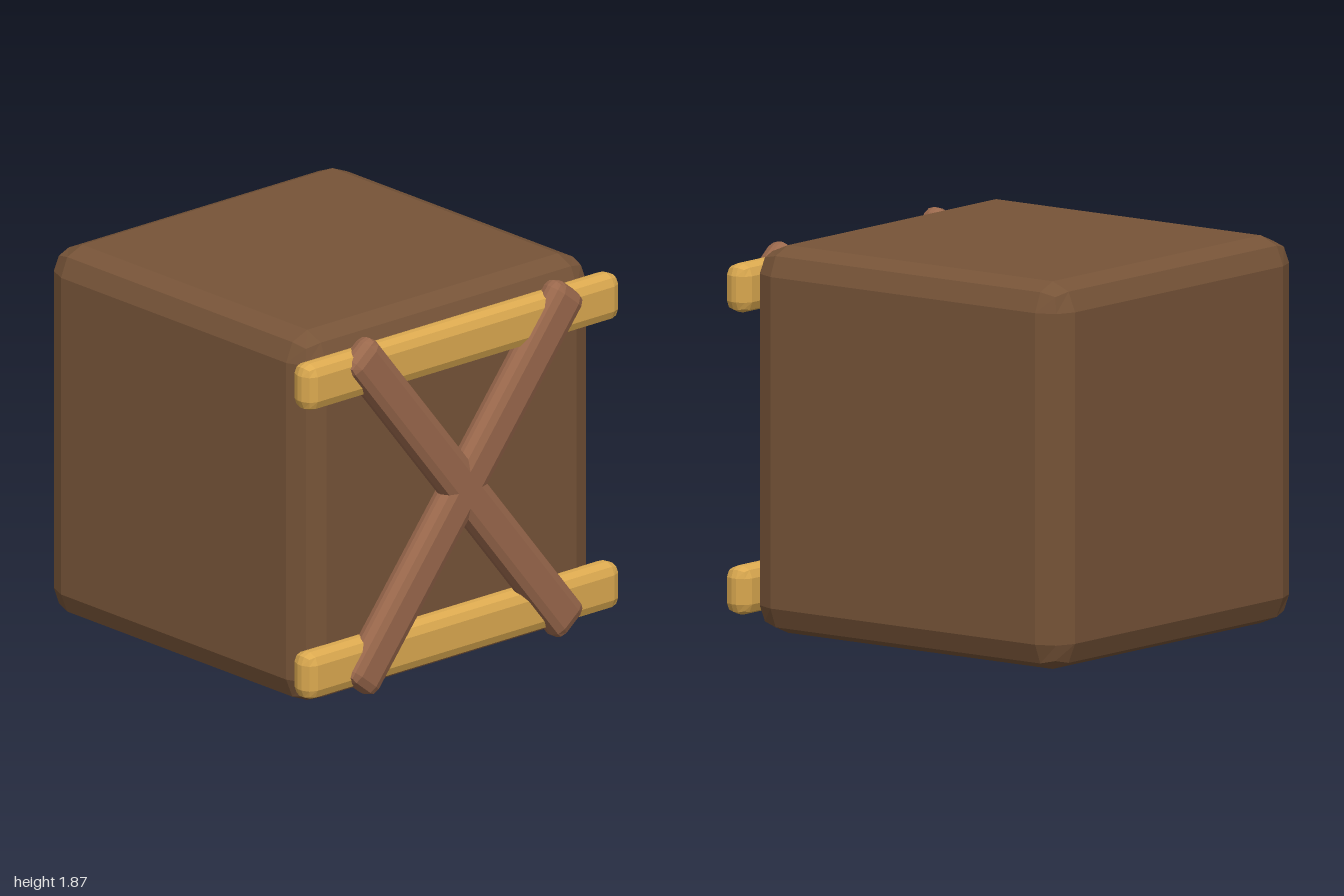
import * as THREE from 'three';
import { RoundedBoxGeometry } from 'three/addons/geometries/RoundedBoxGeometry.js';

function material(name, color) {
  const m = new THREE.MeshStandardMaterial({ color });
  m.name = name;
  return m;
}

// Box with a two-facet bevel on every edge and faceted normals
function bevelledBox(name, size, radius, mat, position) {
  const geometry = new RoundedBoxGeometry(...size, 1, radius);
  geometry.computeVertexNormals();
  const mesh = new THREE.Mesh(geometry, mat);
  mesh.name = name;
  mesh.position.set(...position);
  return mesh;
}

export function createModel() {
  const group = new THREE.Group();
  group.name = 'crate';

  const darkWood = material('darkWood', 0x775438);
  const paleWood = material('paleWood', 0xdcaa50);
  const redWood = material('redWood', 0x9a684c);

  // Solid body
  group.add(bevelledBox('body', [1.865, 1.865, 1.865], 0.135, darkWood, [0, 0.9325, -0.0675]));

  // Horizontal rails across the front
  for (const [name, y] of [['lowerRail', 0.208], ['upperRail', 1.662]]) {
    group.add(bevelledBox(name, [2, 0.235, 0.138], 0.055, paleWood, [0, y, 0.899]));
  }

  // Crossed braces over the rails
  for (const [name, side] of [['risingBrace', 1], ['fallingBrace', -1]]) {
    const brace = bevelledBox(name, [2.175, 0.22, 0.13], 0.053, redWood, [0, 0.935, 0.935]);
    brace.rotation.z = side * THREE.MathUtils.degToRad(51.4);
    group.add(brace);
  }

  return group;
}
